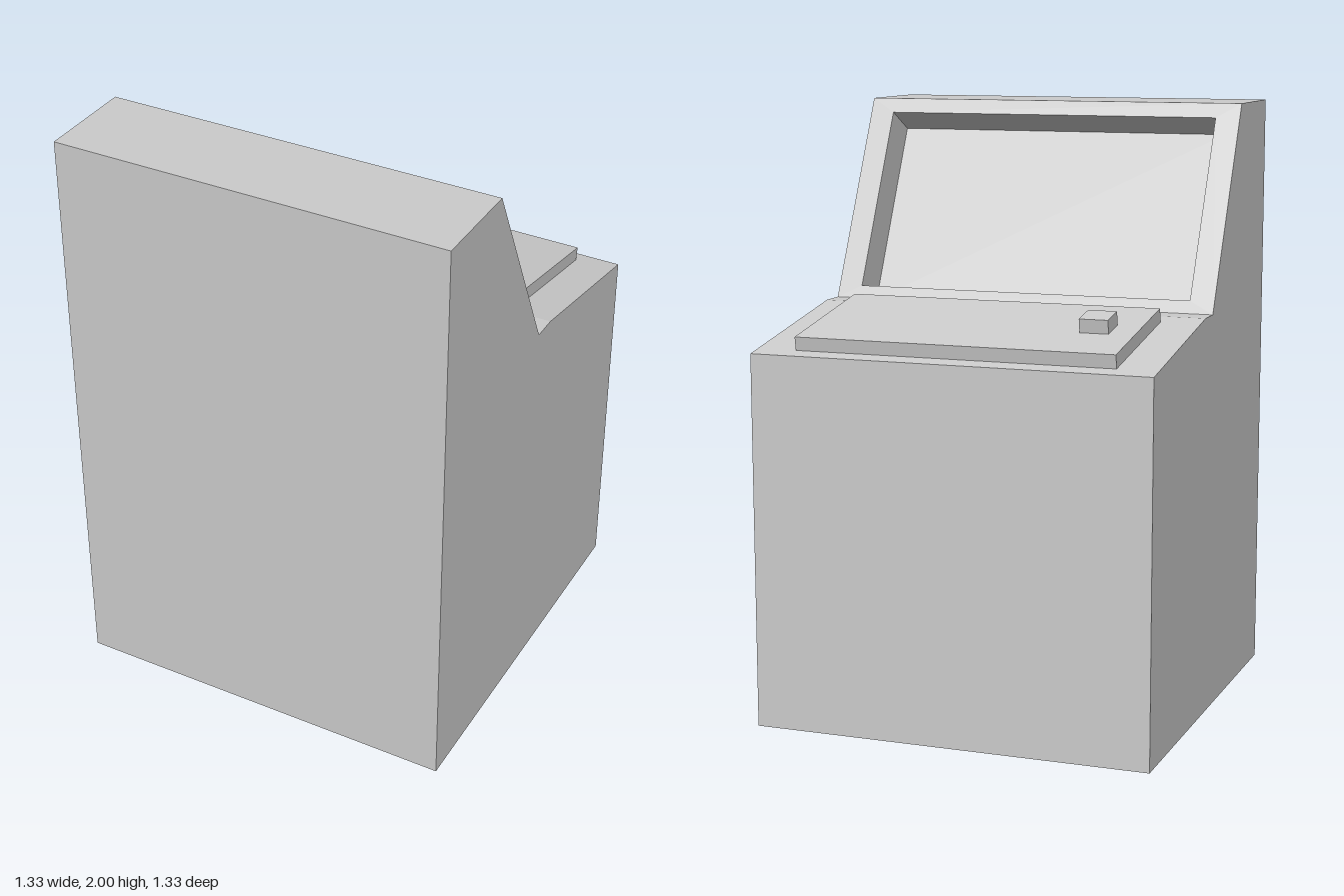
import * as THREE from 'three';
import { mergeGeometries } from 'three/addons/utils/BufferGeometryUtils.js';

const W = 0.667; // half width

// Side outline as [z, y]: up the back, over the hood, down the screen slope, along the desk
const outline = [
  [0.667, 0], [0.667, 2], [0.333, 2], [0, 1.333],
  [-0.088, 1.333], [-0.667, 1.233], [-0.667, 0],
];
const SLOPE = 2; // index of the outline segment holding the screen

function quad(a, b, c, d) {
  const g = new THREE.BufferGeometry();
  g.setAttribute('position', new THREE.Float32BufferAttribute([a, b, c, a, c, d].flat(), 3));
  g.computeVertexNormals();
  return g;
}

function polygon(points) {
  return new THREE.Shape(points.map(([x, y]) => new THREE.Vector2(x, y)));
}

function createCabinet(material) {
  // One strip for each outline segment except the screen slope
  const strips = [];
  outline.forEach(([z0, y0], i) => {
    if (i === SLOPE) return;
    const [z1, y1] = outline[(i + 1) % outline.length];
    strips.push(quad([-W, y0, z0], [W, y0, z0], [W, y1, z1], [-W, y1, z1]));
  });
  // Side panels
  for (const side of [-1, 1]) {
    const panel = new THREE.ShapeGeometry(polygon(outline.map(([z, y]) => [-side * z, y])));
    panel.rotateY(side * Math.PI / 2).translate(side * W, 0, 0);
    strips.push(panel.toNonIndexed());
  }
  strips.forEach((g) => g.deleteAttribute('uv'));
  const cabinet = new THREE.Mesh(mergeGeometries(strips), material);
  cabinet.name = 'cabinet';
  return cabinet;
}

function createScreen(material) {
  // Local frame: y runs up the slope, z points out of it
  const group = new THREE.Group();
  group.name = 'screenAssembly';
  const [[zTop, yTop], [zLow, yLow]] = outline.slice(SLOPE, SLOPE + 2);
  const length = Math.hypot(zTop - zLow, yTop - yLow);
  group.position.set(0, yLow, zLow);
  group.rotation.set(Math.atan2(zTop - zLow, yTop - yLow), Math.PI, 0);

  const hw = 0.584, low = 0.045, high = 0.692, depth = 0.14;
  const opening = [[-hw, low], [hw, low], [hw, high], [-hw, high]];

  // Bezel around the opening
  const bezelShape = polygon([[-W, 0], [W, 0], [W, length], [-W, length]]);
  bezelShape.holes.push(polygon(opening));
  const bezel = new THREE.Mesh(new THREE.ShapeGeometry(bezelShape), material);
  bezel.name = 'screenBezel';

  // Recess walls facing inward
  const walls = opening.map((a, i) => {
    const b = opening[(i + 1) % 4];
    return quad([...a, 0], [...b, 0], [...b, -depth], [...a, -depth]);
  });
  const recess = new THREE.Mesh(mergeGeometries(walls), material);
  recess.name = 'screenRecess';

  // Screen at the bottom of the recess
  const screen = new THREE.Mesh(new THREE.PlaneGeometry(2 * hw, high - low), material);
  screen.position.set(0, (low + high) / 2, -depth);
  screen.name = 'screen';

  group.add(bezel, recess, screen);
  return group;
}

function createDesk(material) {
  // Local frame: y is normal to the sloping desk, -z runs down it
  const group = new THREE.Group();
  group.name = 'controlDesk';
  const [[z0, y0], [z1, y1]] = outline.slice(4, 6);
  group.position.set(0, y0, z0);
  group.rotation.x = -Math.atan2(y0 - y1, z0 - z1);

  const addBlock = (name, width, height, depth, x, bottom) => {
    const block = new THREE.Mesh(new THREE.BoxGeometry(width, height, depth), material);
    block.position.set(x, bottom + height / 2, -0.295);
    block.name = name;
    group.add(block);
  };
  addBlock('controlPad', 1.067, 0.045, 0.474, 0, 0);
  addBlock('button', 0.095, 0.045, 0.095, -0.403, 0.045);
  return group;
}

export function createModel() {
  const material = new THREE.MeshStandardMaterial({ color: 0xcccccc, flatShading: true });
  const model = new THREE.Group();
  model.name = 'console';
  model.add(createCabinet(material), createScreen(material), createDesk(material));
  return model;
}
